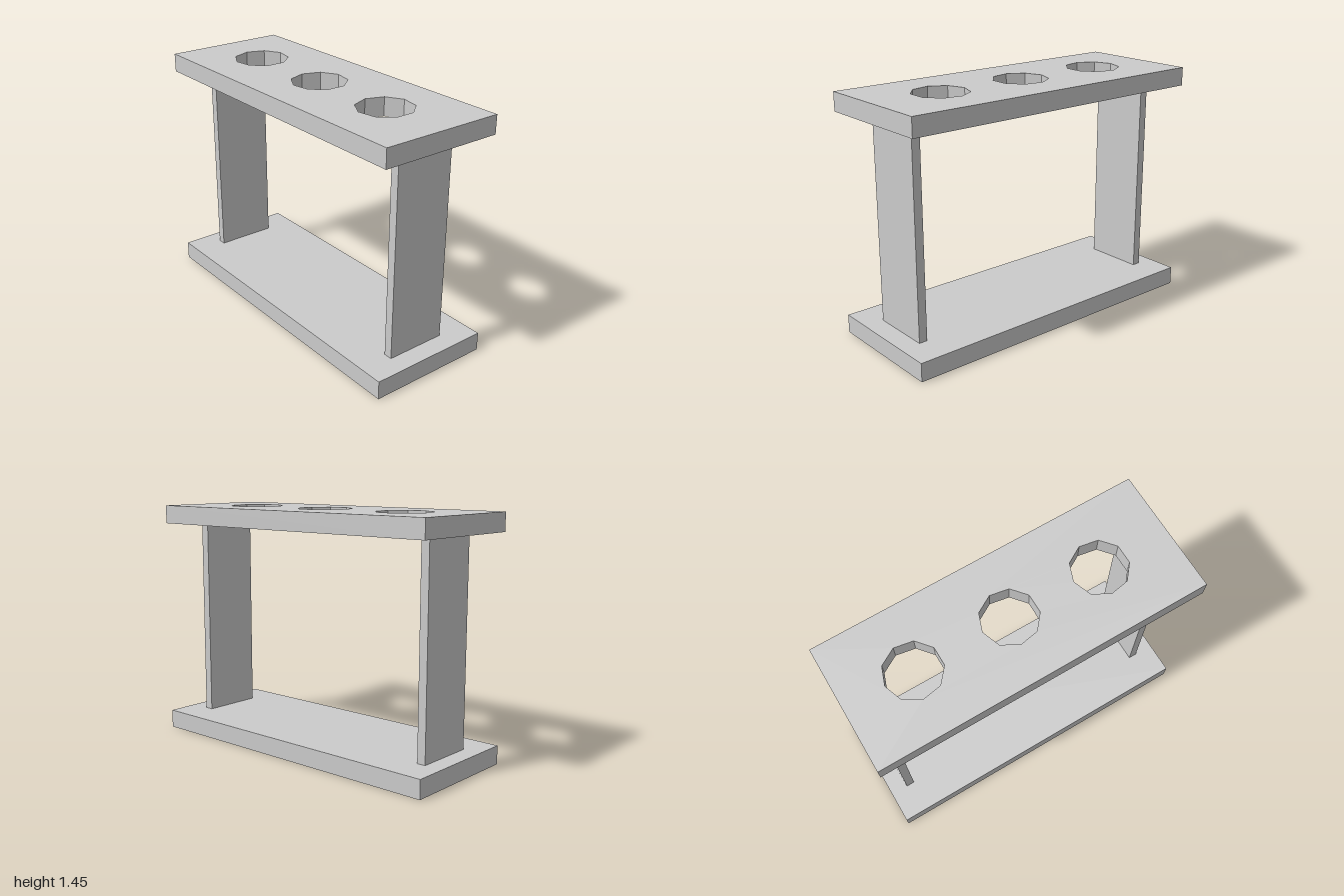
import * as THREE from 'three';

const WIDTH = 0.76, LENGTH = 2, THICK = 0.112, HEIGHT = 1.45;
const HOLE_RADIUS = 0.1655, HOLE_SIDES = 9;

export function createModel() {
  const group = new THREE.Group();
  const material = new THREE.MeshStandardMaterial({ color: 0xcccccc, flatShading: true });

  const add = (name, geometry, x, y, z) => {
    const mesh = new THREE.Mesh(geometry, material);
    mesh.name = name;
    mesh.position.set(x, y, z);
    group.add(mesh);
  };

  // Base plank
  add('base', new THREE.BoxGeometry(WIDTH, THICK, LENGTH), 0, THICK / 2, 0);

  // Two upright panels between the planks
  const legHeight = HEIGHT - 2 * THICK;
  const leg = new THREE.BoxGeometry(0.374, legHeight, 0.052);
  add('frontUpright', leg, 0, HEIGHT / 2, 0.854);
  add('backUpright', leg, 0, HEIGHT / 2, -0.867);

  // Top plank with three nine-sided holes, each with a corner towards the back
  const w = WIDTH / 2, l = LENGTH / 2;
  const plank = new THREE.Shape([
    new THREE.Vector2(-w, -l), new THREE.Vector2(w, -l),
    new THREE.Vector2(w, l), new THREE.Vector2(-w, l),
  ]);
  for (const z of [-0.59, -0.007, 0.561]) {
    const corners = [];
    for (let i = 0; i < HOLE_SIDES; i++) {
      const a = Math.PI / 2 - (i / HOLE_SIDES) * Math.PI * 2;
      corners.push(new THREE.Vector2(HOLE_RADIUS * Math.cos(a), -z + HOLE_RADIUS * Math.sin(a)));
    }
    plank.holes.push(new THREE.Path(corners));
  }
  const top = new THREE.ExtrudeGeometry(plank, { depth: THICK, bevelEnabled: false });
  top.rotateX(-Math.PI / 2);
  add('topPlank', top, 0, HEIGHT - THICK, 0);

  return group;
}
